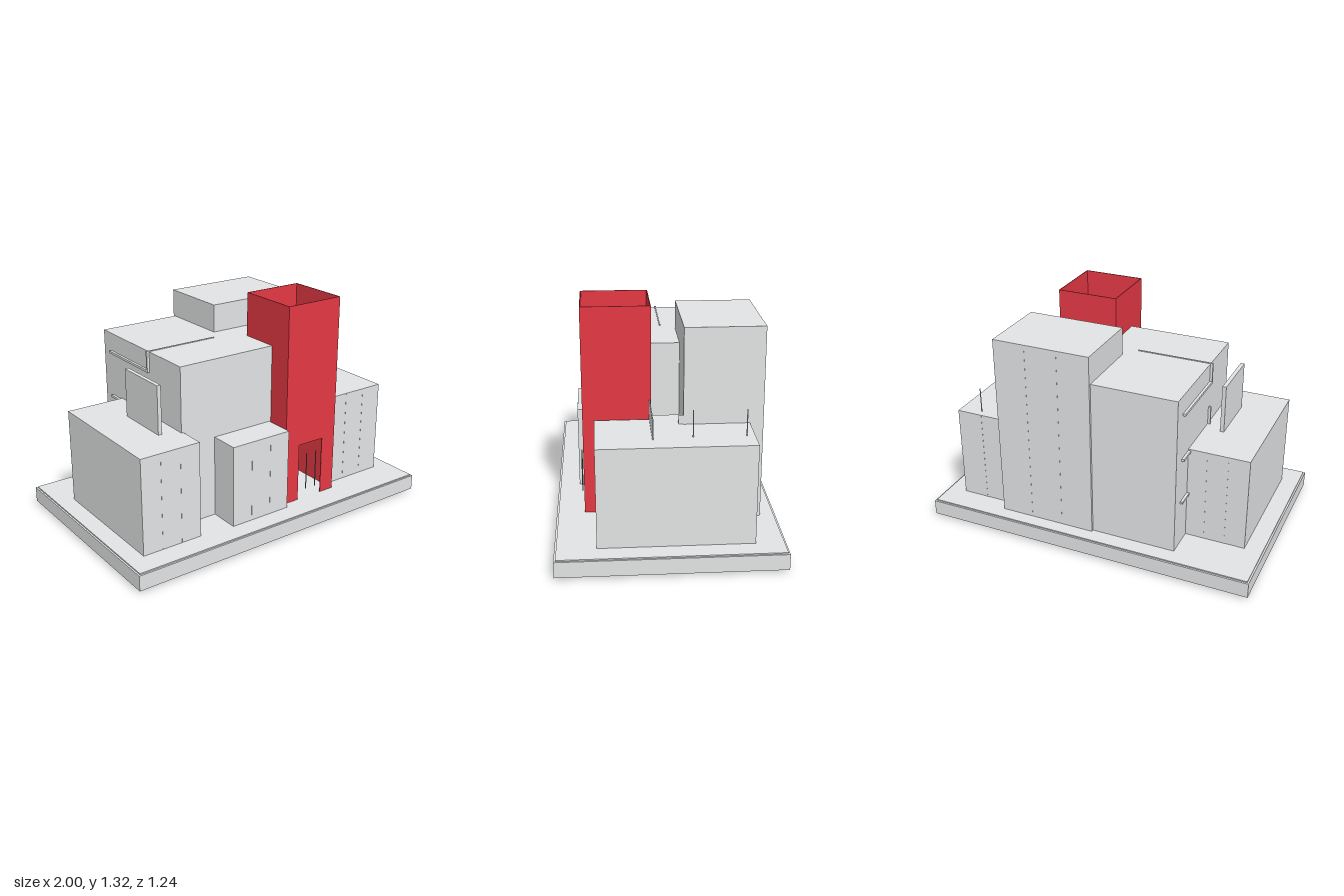
import * as THREE from 'three';

const concrete = new THREE.MeshStandardMaterial({ color: 0xe3e5e6, name: 'concrete grey' });
const red = new THREE.MeshStandardMaterial({ color: 0xe63944, name: 'tower red' });
const dark = new THREE.MeshStandardMaterial({ color: 0x7c8285, name: 'foot grey' });

export function createModel() {
  const model = new THREE.Group();
  model.name = 'blockBuilding';

  // Box given by its limits on each axis
  const box = (name, mat, [x0, x1], [y0, y1], [z0, z1]) => {
    const mesh = new THREE.Mesh(new THREE.BoxGeometry(x1 - x0, y1 - y0, z1 - z0), mat);
    mesh.position.set((x0 + x1) / 2, (y0 + y1) / 2, (z0 + z1) / 2);
    mesh.name = name;
    model.add(mesh);
  };
  // Upright thin rod
  const rod = (name, mat, x, z, y0, y1) => {
    const mesh = new THREE.Mesh(new THREE.CylinderGeometry(0.003, 0.003, y1 - y0, 8), mat);
    mesh.position.set(x, (y0 + y1) / 2, z);
    mesh.name = name;
    model.add(mesh);
  };
  // Two fine ribs dividing a facade in thirds
  const seams = (name, [x0, x1], top, z) => {
    for (const k of [1, 2]) {
      const x = x0 + (x1 - x0) * k / 3;
      box(name, concrete, [x - 0.001, x + 0.001], [0.113, top], [z - 0.001, z + 0.001]);
    }
  };

  // Base slab on a recessed foot
  box('foot', dark, [-0.97, 0.97], [0, 0.016], [-0.595, 0.595]);
  box('baseSlab', concrete, [-1, 1], [0.015, 0.106], [-0.62, 0.62]);
  box('baseTop', concrete, [-0.99, 0.99], [0.1, 0.113], [-0.61, 0.61]);

  // Building blocks: name, x, top, z
  const blocks = [
    ['mainBlock', [-0.53, 0.28], 1.06, [-0.515, 0.315]],
    ['tallBlock', [-0.026, 0.56], 1.225, [-0.53, -0.09]],
    ['leftHandWing', [-0.886, -0.518], 0.68, [-0.33, 0.475]],
    ['rightHandWing', [0.472, 0.88], 0.68, [-0.455, 0.395]],
    ['wingLink', [0.41, 0.472], 0.68, [-0.455, 0.08]],
    ['frontAnnex', [-0.31, 0.08], 0.6, [0.3, 0.495]],
  ];
  for (const [name, x, top, z] of blocks) box(name, concrete, x, [0.11, top], z);

  // Facade seams
  seams('tallBlockSeam', [-0.026, 0.56], 1.225, -0.53);
  seams('annexSeam', [-0.31, 0.08], 0.6, 0.495);
  seams('wingSeam', [-0.886, -0.518], 0.68, 0.475);
  seams('wingSeam', [-0.886, -0.518], 0.68, -0.33);
  seams('wingSeam', [0.472, 0.88], 0.68, 0.395);
  seams('wingSeam', [0.41, 0.88], 0.68, -0.455);

  // Hollow red tower, open at the top, with a doorway in front
  const [L, R, B, F, t] = [0.09, 0.46, 0.08, 0.46, 0.005];
  const y = [0.116, 1.32];
  box('towerSide', red, [L, L + t], y, [B, F - t]);
  box('towerSide', red, [R - t, R], y, [B, F - t]);
  box('towerBack', red, [L + t, R - t], y, [B, B + t]);
  const front = new THREE.Shape([
    [L, y[0]], [0.19, y[0]], [0.19, 0.47], [0.365, 0.47],
    [0.365, y[0]], [R, y[0]], [R, y[1]], [L, y[1]],
  ].map(([a, b]) => new THREE.Vector2(a, b)));
  const frontWall = new THREE.Mesh(
    new THREE.ExtrudeGeometry(front, { depth: t, bevelEnabled: false }), red);
  frontWall.position.z = F - t;
  frontWall.name = 'towerFront';
  model.add(frontWall);

  // Door handles
  for (const x of [0.24, 0.31]) rod('doorHandle', dark, x, 0.472, 0.18, 0.41);

  // Rooftop parts
  box('wingParapet', concrete, [0.41, 0.768], [0.68, 0.79], [0.086, 0.092]);
  box('roofFin', concrete, [-0.648, -0.625], [0.68, 0.965], [-0.07, 0.268]);
  box('roofVent', concrete, [0.533, 0.555], [0.68, 0.73], [-0.092, -0.064]);
  for (const z of [-0.41, -0.125]) rod('antenna', concrete, 0.745, z, 0.68, 0.83);

  // Ducts along the side wall and over the roof
  for (const h of [0.39, 0.665, 0.945]) {
    box('wallDuct', concrete, [-0.545, -0.53], [h - 0.007, h + 0.007], [-0.435, 0]);
  }
  box('upperRiser', concrete, [-0.545, -0.53], [0.94, 1.064], [-0.012, 0]);
  box('lowerRiser', concrete, [-0.545, -0.53], [0.66, 0.79], [-0.012, 0]);
  box('roofDuct', concrete, [-0.545, -0.09], [1.058, 1.064], [-0.008, 0]);

  return model;
}
